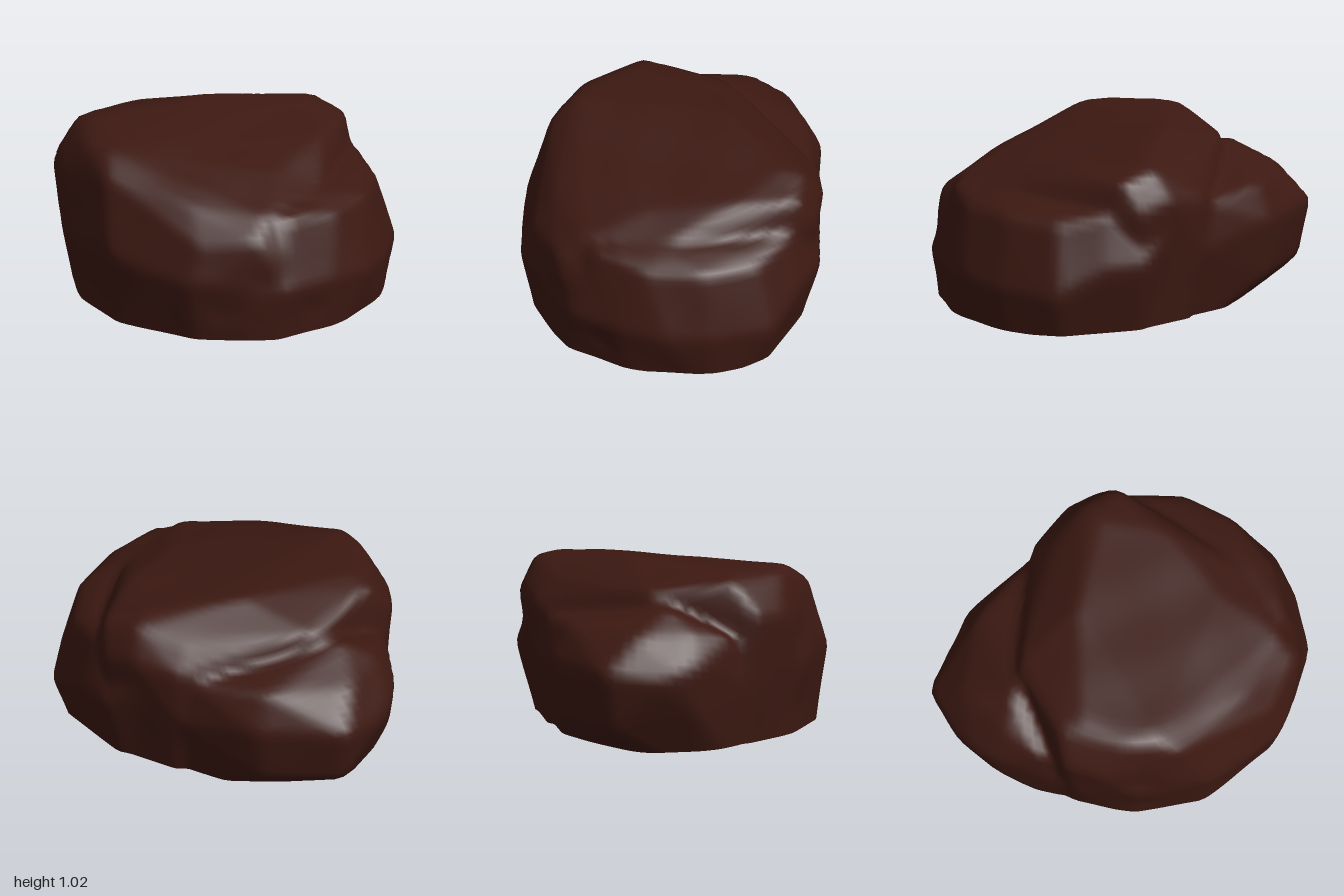
import * as THREE from 'three';
import { mergeVertices } from 'three/addons/utils/BufferGeometryUtils.js';
import { ConvexGeometry } from 'three/addons/geometries/ConvexGeometry.js';

// Corner points of the three overlapping lumps; points below y = 0 only steer the walls.
const mainBlock = [
  // diagonal ridge, sloping down towards the front right and the back left
  [-0.84, 0.96, -0.1], [-0.72, 1.0, 0], [-0.62, 0.97, 0.42], [-0.75, 0.96, 0.32],
  [-0.1, 1.02, -0.33], [-0.55, 0.89, -0.5], [0.2, 0.87, -0.64], [0.45, 0.97, -0.44], [0.5, 0.94, -0.57],
  [0.69, 0.89, -0.46], [0.59, 0.9, -0.1], [0.38, 0.84, 0.36], [0.62, 0.74, 0.38],
  [0.35, 0.73, 0.76], [-0.1, 0.77, 0.75],
  // shoulders
  [-0.96, 0.77, 0], [-0.92, 0.75, 0.22], [-0.62, 0.86, 0.58], [0.73, 0.7, -0.42], [0.22, 0.72, -0.77],
  [0.5, 0.76, -0.69], [0.68, 0.7, -0.58], [-0.05, 0.58, 0.92], [0.3, 0.62, 0.9],
  // waist
  [-0.92, 0.35, 0.05], [-0.82, 0.4, 0.39], [-0.58, 0.45, 0.74], [-0.4, 0.38, 0.83], [-0.1, 0.37, 0.97],
  [0.03, 0.37, 0.97], [0.22, 0.45, 0.91], [0.45, 0.3, 0.9], [0.73, 0.35, 0.67], [0.22, 0.4, -0.76],
  // foot
  [-0.83, -0.2, 0], [-0.75, -0.2, 0.36], [-0.52, -0.2, 0.66], [-0.05, -0.2, 0.87], [0.4, -0.2, 0.85],
  [0.69, -0.2, 0.61], [0.58, -0.2, -0.48], [0.25, -0.2, -0.62], [-0.8, -0.2, -0.28],
];
const rightLump = [
  [0.74, 0.72, -0.4], [0.8, 0.71, -0.1], [0.66, 0.74, 0.35], [0.9, 0.65, -0.12], [0.88, 0.66, 0.2],
  [0.73, 0.66, 0.52], [0.45, 0.71, 0.75], [1.01, 0.24, -0.18], [0.99, 0.26, 0.2], [0.91, 0.28, 0.46],
  [0.74, 0.3, 0.68], [0.46, 0.3, 0.9], [0.83, 0.4, -0.43], [0.67, 0.4, -0.61], [0.46, 0.6, -0.69],
  [0.85, -0.2, -0.18], [0.92, -0.2, 0.15], [0.7, -0.2, 0.6], [0.55, -0.2, -0.49], [0.4, -0.2, 0.82],
  [-0.4, -0.2, 0], [-0.3, 0.4, 0],
];
const backLump = [
  [-0.78, 0.7, -0.74], [-0.3, 0.71, -0.87], [0.15, 0.68, -0.75], [-0.9, 0.72, -0.42], [-0.93, 0.66, -0.15],
  [-0.7, 0.84, -0.45], [-1.01, 0.53, -0.42], [-1.0, 0.5, -0.57], [-0.96, 0.45, -0.69],
  [-0.78, 0.5, -0.96], [-0.25, 0.5, -0.97], [0.22, 0.4, -0.76], [-0.74, 0.16, -0.9], [-0.28, 0.15, -0.91],
  [-0.98, 0.25, -0.43], [-0.92, 0.35, -0.05],
  [-0.83, -0.2, -0.05], [-0.8, -0.2, -0.28], [-0.58, -0.2, -0.4], [-0.25, -0.2, -0.44], [0.25, -0.2, -0.56],
  [0.3, -0.2, 0.3], [0.2, 0.4, 0.2],
];

// Chips and hollows: position, radius, depth
const dents = [
  [[0.36, 0.36, 0.86], 0.13, 0.03], [[0.1, 0.2, 0.93], 0.14, 0.02],
  [[-0.78, 0.58, 0.42], 0.14, 0.025], [[-0.75, 0.15, 0.42], 0.18, 0.015],
  [[0.6, 0.15, 0.74], 0.12, 0.02],
].map(([p, radius, depth]) => ({ p: new THREE.Vector3(...p), radius, depth }));

// Face planes of a convex lump
function planesOf(points) {
  const hull = new ConvexGeometry(points.map(p => new THREE.Vector3(...p))).getAttribute('position');
  const corner = i => new THREE.Vector3().fromBufferAttribute(hull, i);
  const planes = [];
  for (let i = 0; i < hull.count; i += 3) {
    const plane = new THREE.Plane().setFromCoplanarPoints(corner(i), corner(i + 1), corner(i + 2));
    if (plane.normal.lengthSq() > 0.5) planes.push(plane);
  }
  return planes;
}

// Distance from the origin to the outermost lump along a direction
function reach(lumps, dir) {
  let far = 0;
  for (const planes of lumps) {
    let near = Infinity;
    for (const { normal, constant } of planes) {
      const slope = normal.dot(dir);
      if (slope > 1e-4) near = Math.min(near, -constant / slope);
    }
    far = Math.max(far, near);
  }
  return far;
}

function rockGeometry() {
  const lumps = [mainBlock, rightLump, backLump].map(planesOf);
  const geometry = new THREE.SphereGeometry(1, 128, 44, 0, Math.PI * 2, 0, Math.PI / 2);
  geometry.deleteAttribute('uv');
  geometry.deleteAttribute('normal');
  const pos = geometry.getAttribute('position');
  const dir = new THREE.Vector3(), probe = new THREE.Vector3(), point = new THREE.Vector3();
  const offsets = [[0, 0, 0]];
  for (const s of [-0.035, 0.035]) offsets.push([s, 0, 0], [0, s, 0], [0, 0, s]);

  for (let i = 0; i < pos.count; i++) {
    dir.fromBufferAttribute(pos, i).normalize();
    // averaging nearby directions rounds the edges
    let r = 0;
    for (const [x, y, z] of offsets) {
      probe.set(dir.x + x, dir.y + y, dir.z + z).normalize();
      r += reach(lumps, probe) / offsets.length;
    }
    point.copy(dir).multiplyScalar(r);
    for (const { p, radius, depth } of dents) {
      r -= depth * Math.exp(-point.distanceToSquared(p) / (radius * radius) * 2);
    }
    // faint weathering
    r += 0.004 * Math.sin(9 * point.x + 4 * point.y) * Math.sin(8 * point.z - 7 * point.y + 1);
    point.copy(dir).multiplyScalar(r);
    pos.setXYZ(i, point.x, Math.max(0, point.y), point.z);
  }
  const merged = mergeVertices(geometry, 1e-5);
  merged.computeVertexNormals();
  return merged;
}

export function createModel() {
  const group = new THREE.Group();
  group.name = 'boulder';
  // open shell standing on its rim
  const rock = new THREE.Mesh(
    rockGeometry(),
    new THREE.MeshStandardMaterial({ color: 0x3d1912, side: THREE.DoubleSide }),
  );
  rock.name = 'rock';
  group.add(rock);
  return group;
}
